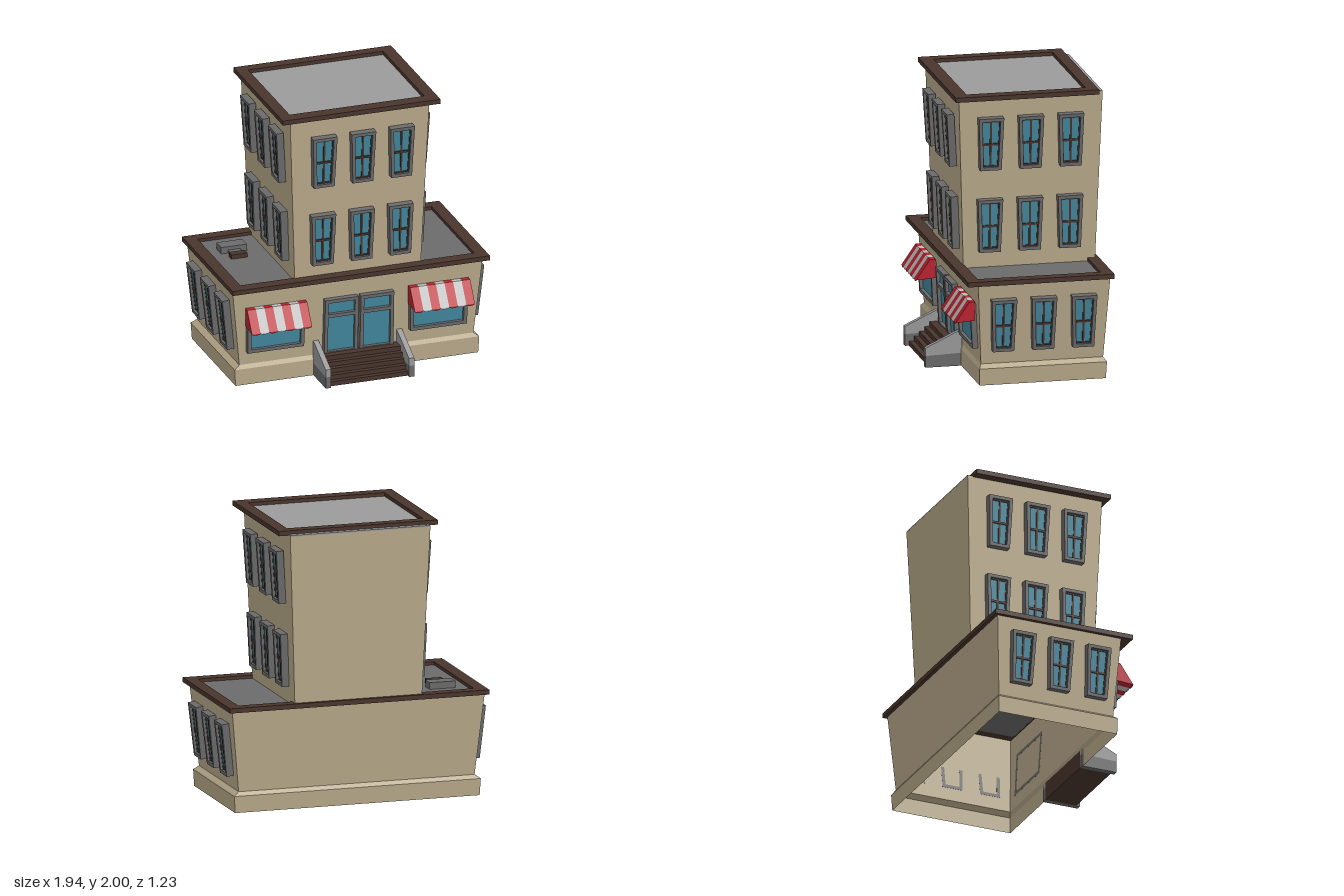
import * as THREE from 'three';

const mat = (name, color, side = THREE.FrontSide) => {
  const m = new THREE.MeshStandardMaterial({ color, side });
  m.name = name;
  return m;
};
const M = {
  wall: mat('tan wall', 0xbaab8c, THREE.DoubleSide),
  brown: mat('dark brown', 0x49352c),
  dark: mat('dark grey', 0x6b6b6b),
  light: mat('light grey', 0x9b9b9b),
  glass: mat('blue glass', 0x43889f),
  red: mat('awning red', 0xbc2330, THREE.DoubleSide),
  white: mat('awning white', 0xbebebe, THREE.DoubleSide),
};
const lerp = THREE.MathUtils.lerp;
const CX = -0.005;

function add(parent, name, geo, material, x = 0, y = 0, z = 0) {
  const m = new THREE.Mesh(geo, material);
  m.name = name;
  m.position.set(x, y, z);
  parent.add(m);
  return m;
}

// Box given by its minimum and maximum on each axis
function box(parent, name, material, x0, x1, y0, y1, z0, z1) {
  return add(parent, name, new THREE.BoxGeometry(x1 - x0, y1 - y0, z1 - z0), material,
    (x0 + x1) / 2, (y0 + y1) / 2, (z0 + z1) / 2);
}

// Open walls through rectangular rings [y, x0, x1, z0, z1]
function walls(rings) {
  const pos = [], idx = [];
  for (const [y, x0, x1, z0, z1] of rings) {
    pos.push(x0, y, z1, x1, y, z1, x1, y, z0, x0, y, z0);
  }
  for (let r = 0; r < rings.length - 1; r++) {
    for (let i = 0; i < 4; i++) {
      const a = r * 4 + i, b = r * 4 + (i + 1) % 4;
      idx.push(a, b, b + 4, a, b + 4, a + 4);
    }
  }
  const indexed = new THREE.BufferGeometry();
  indexed.setAttribute('position', new THREE.Float32BufferAttribute(pos, 3));
  indexed.setIndex(idx);
  const geo = indexed.toNonIndexed();
  geo.computeVertexNormals();
  return geo;
}

const polygon = (pts, Type = THREE.Shape) => new Type(pts.map(p => new THREE.Vector2(p[0], p[1])));
const extrude = (shape, depth) => new THREE.ExtrudeGeometry(shape, { depth, bevelEnabled: false });

// Flat rectangular cornice with an open middle
function cornice(parent, name, y, h, outer, inner) {
  const rect = ([x0, x1, z0, z1]) => [[x0, -z1], [x1, -z1], [x1, -z0], [x0, -z0]];
  const s = polygon(rect(outer));
  s.holes.push(polygon(rect(inner), THREE.Path));
  add(parent, name, extrude(s, h).rotateX(-Math.PI / 2), M.brown, 0, y, 0);
}

// Tapered frame with glazed openings; y runs up from its foot, +z points out
function framedPanel(name, wt, wb, h, depth, border, openings) {
  const g = new THREE.Group();
  g.name = name;
  const half = (y, inset) => lerp(wb, wt, y / h) / 2 - inset;
  const trap = (y0, y1, inset) => [[-half(y0, inset), y0], [half(y0, inset), y0],
    [half(y1, inset), y1], [-half(y1, inset), y1]];
  const s = polygon(trap(0, h, 0));
  for (const [y0, y1] of openings) {
    s.holes.push(polygon(trap(y0, y1, border), THREE.Path));
    add(g, 'glass', extrude(polygon(trap(y0, y1, border - 0.004)), 0.006), M.glass, 0, 0, depth - 0.03);
  }
  add(g, 'frame', extrude(s, depth), M.dark);
  return g;
}

// Sash window with a thin brown inner frame and glazing bars
function sashWindow() {
  const g = framedPanel('sashWindow', 0.18, 0.152, 0.38, 0.052, 0.024, [[0.024, 0.356]]);
  const z0 = 0.024, z1 = 0.035;
  box(g, 'centreBar', M.brown, -0.007, 0.007, 0.024, 0.356, z0, z1);
  box(g, 'crossRail', M.brown, -0.06, 0.06, 0.178, 0.193, z0, z1 + 0.002);
  box(g, 'bottomRail', M.brown, -0.053, 0.053, 0.024, 0.033, z0, z1);
  box(g, 'topRail', M.brown, -0.064, 0.064, 0.347, 0.356, z0, z1);
  for (const s of [-1, 1]) {
    const bar = box(g, 'sideBar', M.brown, -0.004, 0.004, 0.024, 0.356, z0, z1);
    bar.position.x = s * 0.0575;
    bar.rotation.z = -s * 0.037;
  }
  return g;
}

// Set a panel on a wall, turned to face out and leaning with the wall
function place(parent, panel, x, y, z, turn, lean) {
  panel.rotation.order = 'YXZ';
  panel.rotation.set(lean, turn, 0);
  panel.position.set(x, y, z);
  parent.add(panel);
}

// Striped awning with scalloped lower edge
function awning(x0, x1) {
  const g = new THREE.Group();
  g.name = 'awning';
  const n = 7, w = (x1 - x0) / n;
  // Section in (-z, y), turned so that the extrusion runs along x
  const section = polygon([[-0.51, 0.44], [-0.37, 0.45], [-0.37, 0.585], [-0.41, 0.585]]);
  for (let i = 0; i < n; i++) {
    const m = i % 2 ? M.white : M.red;
    add(g, 'stripe', extrude(section, w).rotateY(Math.PI / 2), m, x0 + i * w);
    const scallop = new THREE.CircleGeometry(w / 2, 10, Math.PI, Math.PI).scale(1, 0.4, 1);
    add(g, 'scallop', scallop, m, x0 + (i + 0.5) * w, 0.441, 0.509);
  }
  return g;
}

export function createModel() {
  const model = new THREE.Group();
  model.name = 'shopBuilding';

  // Ground floor with plinth, and the tower above
  add(model, 'groundFloor', walls([
    [0, -0.905, 0.895, -0.55, 0.355], [0.12, -0.912, 0.902, -0.556, 0.357],
    [0.148, -0.872, 0.865, -0.537, 0.34], [0.73, -0.934, 0.924, -0.575, 0.372]]), M.wall);
  add(model, 'tower', walls([
    [0.73, -0.472, 0.462, -0.573, 0.371], [1.97, -0.521, 0.511, -0.617, 0.414]]), M.wall);

  // Roofs and cornices
  box(model, 'lowerRoof', M.dark, -0.93, 0.92, 0.728, 0.738, -0.573, 0.37);
  box(model, 'towerRoof', M.light, -0.52, 0.51, 1.964, 1.974, -0.617, 0.413);
  cornice(model, 'lowerCornice', 0.727, 0.034, [-0.96, 0.948, -0.6, 0.451], [-0.873, 0.863, -0.518, 0.363]);
  cornice(model, 'towerCornice', 1.966, 0.034, [-0.588, 0.581, -0.577, 0.451], [-0.505, 0.495, -0.497, 0.357]);

  // Roof vent
  box(model, 'ventBox', M.dark, -0.79, -0.6, 0.735, 0.786, -0.363, -0.264);
  box(model, 'ventDuct', M.dark, -0.74, -0.65, 0.735, 0.76, -0.264, -0.207);
  box(model, 'ventHood', M.brown, -0.754, -0.635, 0.735, 0.77, -0.207, -0.15);

  // Tower windows on front and both sides
  for (const [y, lean] of [[0.858, 0.042], [1.455, 0.06]]) {
    const t = (y - 0.73) / 1.24;
    for (const i of [-1, 0, 1]) {
      place(model, sashWindow(), 0.008 + i * 0.287, y, lerp(0.371, 0.414, t), 0, lean);
      for (const s of [-1, 1]) {
        place(model, sashWindow(), CX + s * lerp(0.467, 0.516, t), y, -0.096 + i * 0.287,
          s * Math.PI / 2, lean);
      }
    }
  }

  // Ground floor side windows
  for (const s of [-1, 1]) {
    for (const i of [-1, 0, 1]) {
      place(model, sashWindow(), CX + s * 0.879, 0.248, -0.096 + i * 0.287, s * Math.PI / 2, 0.108);
    }
  }

  // Shop windows, awnings and double door
  for (const s of [-1, 1]) {
    const shop = framedPanel('shopWindow', 0.43, 0.418, 0.325, 0.04, 0.026, [[0.026, 0.3]]);
    place(model, shop, -0.012 + s * 0.604, 0.246, 0.345, 0, 0.055);
    const x = -0.011 + s * 0.604;
    model.add(awning(x - 0.223, x + 0.223));
    const door = framedPanel('door', 0.246, 0.25, 0.424, 0.04, 0.025, [[0.025, 0.287], [0.313, 0.399]]);
    place(model, door, s * 0.132, 0.15, 0.341, 0, 0.055);
  }

  // Front steps
  const steps = new THREE.Group();
  steps.name = 'frontSteps';
  for (let i = 0; i < 5; i++) {
    box(steps, 'step', M.brown, -0.29, 0.293, i * 0.033, (i + 1) * 0.033, 0.35, 0.585 - i * 0.037);
  }
  model.add(steps);

  // Sloping side walls of the steps, on dark footings
  const cheek = polygon([[-0.613, 0.084], [-0.35, 0.093], [-0.35, 0.258], [-0.388, 0.245], [-0.613, 0.14]]);
  const footing = polygon([[-0.613, 0], [-0.35, 0], [-0.35, 0.093], [-0.613, 0.084]]);
  for (const x of [-0.328, 0.29]) {
    add(model, 'stepWall', extrude(cheek, 0.039).rotateY(Math.PI / 2), M.light, x);
    add(model, 'stepWallFooting', extrude(footing, 0.039).rotateY(Math.PI / 2), M.dark, x);
  }

  return model;
}
